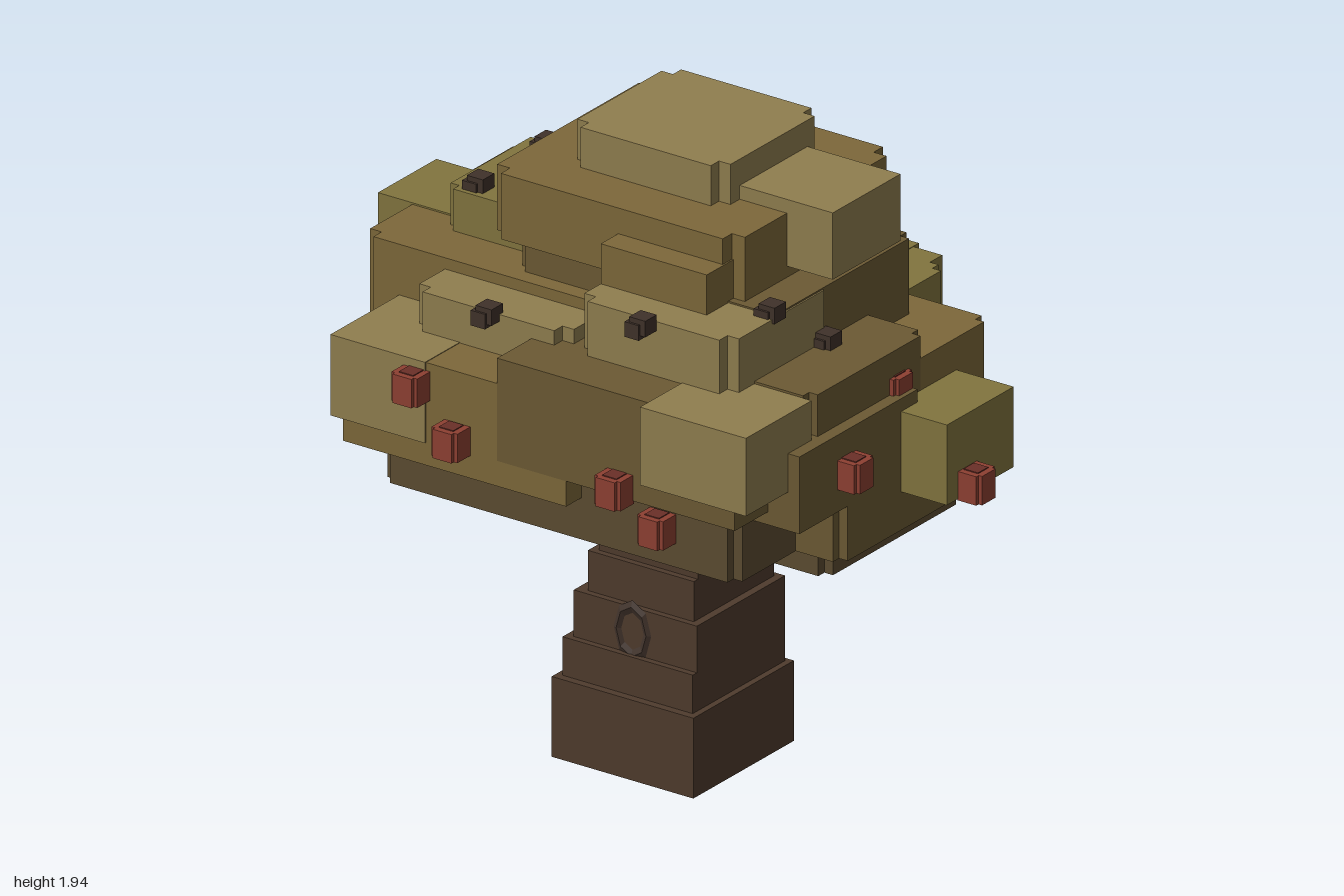
import * as THREE from 'three';

const mats = {};
const mat = (c) => (mats[c] ??= new THREE.MeshStandardMaterial({ color: c, flatShading: true }));
const LIGHT = 0x907e4f, BROWN = 0x7d683a, DARK = 0x6c5a34, GREEN = 0x82753f, UNDER = 0x5c4c31;
const BARK = 0x4f3b2d, KNOT = 0x40322a, FRUIT = 0x8e4032, FRUIT_TIP = 0x6b3028;

// Box between two corners; notch > 0 cuts a square step out of each vertical edge
function block(parent, name, color, x0, x1, y0, y1, z0, z1, notch = 0) {
  let geo;
  if (notch > 0) {
    const n = notch, a = (x1 - x0) / 2, b = (z1 - z0) / 2;
    const pts = [[a, -b + n], [a, b - n], [a - n, b - n], [a - n, b], [-a + n, b], [-a + n, b - n],
      [-a, b - n], [-a, -b + n], [-a + n, -b + n], [-a + n, -b], [a - n, -b], [a - n, -b + n]];
    const shape = new THREE.Shape(pts.map(([x, y]) => new THREE.Vector2(x, y)));
    geo = new THREE.ExtrudeGeometry(shape, { depth: y1 - y0, bevelEnabled: false });
    geo.translate(0, 0, -(y1 - y0) / 2).rotateX(-Math.PI / 2);
  } else {
    geo = new THREE.BoxGeometry(x1 - x0, y1 - y0, z1 - z0);
  }
  const mesh = new THREE.Mesh(geo, mat(color));
  mesh.name = name;
  mesh.position.set((x0 + x1) / 2, (y0 + y1) / 2, (z0 + z1) / 2);
  parent.add(mesh);
  return mesh;
}

function group(parent, name) {
  const g = new THREE.Group();
  g.name = name;
  parent.add(g);
  return g;
}

export function createModel() {
  const tree = new THREE.Group();
  tree.name = 'tree';

  // Stepped trunk
  const trunk = group(tree, 'trunk');
  [
    [-0.30, 0.195, 0, 0.25, -0.20, 0.29],
    [-0.28, 0.175, 0.25, 0.37, -0.185, 0.265],
    [-0.255, 0.175, 0.37, 0.515, -0.185, 0.245],
    [-0.22, 0.15, 0.515, 0.64, -0.165, 0.225],
    [-0.195, 0.15, 0.64, 0.77, -0.165, 0.205],
    [-0.195, 0.15, 0.77, 1.2, -0.14, 0.205],
  ].forEach((b) => block(trunk, 'trunkTier', BARK, ...b));
  block(trunk, 'branchStub', KNOT, 0.14, 0.175, 0.77, 0.84, -0.06, 0.10);
  block(trunk, 'branchStub', KNOT, -0.235, -0.05, 0.87, 0.92, 0.0, 0.215);

  // Ring-shaped bark knot on the front
  const ring = new THREE.Mesh(new THREE.TorusGeometry(0.055, 0.014, 4, 8), mat(KNOT));
  ring.name = 'barkKnot';
  ring.scale.set(0.95, 1.4, 0.5);
  ring.position.set(-0.05, 0.44, 0.245);
  trunk.add(ring);

  // Shaded underside of the crown
  const under = group(tree, 'crownUnderside');
  block(under, 'underRight', UNDER, -0.01, 0.69, 0.83, 0.96, -0.33, 0.33, 0.03);
  block(under, 'underFront', UNDER, -0.63, 0.61, 0.91, 1.12, 0.05, 0.66, 0.03);
  block(under, 'underBack', UNDER, -0.28, 0.40, 0.95, 1.15, -0.57, 0.10, 0.03);
  block(under, 'underSide', DARK, 0.32, 0.77, 0.91, 1.09, -0.29, 0.37, 0.03);
  block(under, 'underLeft', UNDER, -0.79, -0.1, 1.08, 1.21, -0.33, 0.33, 0.03);

  // Main foliage lobes
  const crown = group(tree, 'crown');
  block(crown, 'frontLobe', BROWN, -0.71, 0.07, 1.04, 1.36, 0.0, 0.735);
  block(crown, 'frontLobeCorner', LIGHT, -0.75, -0.42, 1.11, 1.362, 0.38, 0.74);
  block(crown, 'frontMiddleLobe', DARK, -0.17, 0.66, 1.12, 1.44, 0.0, 0.737);
  block(crown, 'frontSideCorner', LIGHT, 0.36, 0.73, 1.20, 1.443, 0.46, 0.78);
  block(crown, 'sideLobe', DARK, 0.1, 0.73, 1.10, 1.45, -0.10, 0.46, 0.03);
  block(crown, 'sideLobeFace', DARK, 0.2, 0.77, 1.08, 1.32, 0.0, 0.575);
  block(crown, 'sideLobeRear', BROWN, 0.1, 0.73, 1.10, 1.38, -0.41, 0.05, 0.03);
  block(crown, 'sideLobeEnd', GREEN, 0.62, 0.93, 1.03, 1.28, -0.245, 0.08);
  block(crown, 'backLobe', GREEN, -0.30, 0.40, 1.08, 1.36, -0.66, 0.0, 0.03);
  block(crown, 'backLobeLeft', GREEN, -0.34, -0.05, 1.06, 1.34, -0.66, -0.3);
  block(crown, 'backLobeEnd', GREEN, -0.09, 0.24, 1.13, 1.362, -0.745, -0.4);
  block(crown, 'backLobeEndLeft', GREEN, -0.26, 0.34, 1.13, 1.36, -0.72, -0.4);
  block(crown, 'backLobeTop', GREEN, -0.22, 0.39, 1.36, 1.49, -0.50, 0.0, 0.04);
  block(crown, 'leftLobe', BROWN, -0.88, 0.0, 1.20, 1.52, -0.37, 0.405, 0.04);
  block(crown, 'leftLobeRear', BROWN, -0.80, -0.46, 1.17, 1.39, -0.415, 0.0);
  block(crown, 'leftLobeEnd', GREEN, -1.0, -0.70, 1.28, 1.525, -0.125, 0.16);
  block(crown, 'leftLobeTop', GREEN, -0.71, -0.30, 1.50, 1.65, -0.21, 0.24, 0.03);

  // Upper tiers
  block(crown, 'frontSlab', LIGHT, -0.59, -0.05, 1.34, 1.485, 0.2, 0.57, 0.04);
  block(crown, 'frontSideSlab', LIGHT, -0.01, 0.53, 1.42, 1.61, 0.08, 0.575, 0.04);
  block(crown, 'middleCore', DARK, -0.38, 0.525, 1.38, 1.615, -0.33, 0.35, 0.03);
  block(crown, 'upperTier', BROWN, -0.465, 0.40, 1.61, 1.815, -0.41, 0.37, 0.045);
  block(crown, 'upperTierFront', BROWN, -0.01, 0.36, 1.605, 1.735, 0.2, 0.455);
  block(crown, 'upperTierSide', LIGHT, 0.235, 0.56, 1.65, 1.858, -0.21, 0.12);
  block(crown, 'cap', LIGHT, -0.30, 0.235, 1.81, 1.94, -0.285, 0.205, 0.04);

  // Hanging fruits: a cube with a small darker cap above and below
  const fruits = group(tree, 'fruits');
  [
    [-0.89, 1.255, 0.02], [-0.73, 1.115, 0.25], [-0.45, 1.29, 0.765], [-0.31, 1.155, 0.765],
    [0.26, 1.155, 0.765], [0.355, 1.03, 0.69], [0.795, 1.195, 0.345], [0.71, 1.325, 0.035],
    [0.96, 1.07, -0.02], [0.795, 1.09, -0.295], [0.265, 1.23, -0.69], [0.03, 1.12, -0.765],
    [-0.32, 1.07, -0.65],
  ].forEach(([x, y, z]) => {
    block(fruits, 'fruit', FRUIT, x - 0.045, x + 0.045, y - 0.045, y + 0.045, z - 0.045, z + 0.045, 0.012);
    block(fruits, 'fruitTip', FRUIT_TIP, x - 0.025, x + 0.025, y - 0.048, y + 0.048, z - 0.025, z + 0.025);
  });

  // Small woody buds on the foliage, each two offset cubes
  const buds = group(tree, 'buds');
  [
    [-0.62, 1.665, -0.14], [-0.62, 1.665, 0.19], [-0.31, 1.485, 0.58], [0.245, 1.605, 0.605],
    [0.51, 1.62, 0.345], [0.555, 1.465, 0.135], [0.495, 1.465, -0.23], [0.205, 1.505, -0.44],
    [-0.10, 1.505, -0.49],
  ].forEach(([x, y, z]) => {
    block(buds, 'bud', KNOT, x - 0.028, x + 0.028, y - 0.022, y + 0.028, z - 0.028, z + 0.028);
    block(buds, 'budStem', KNOT, x - 0.04, x + 0.01, y - 0.035, y + 0.012, z - 0.022, z + 0.035);
  });

  return tree;
}
